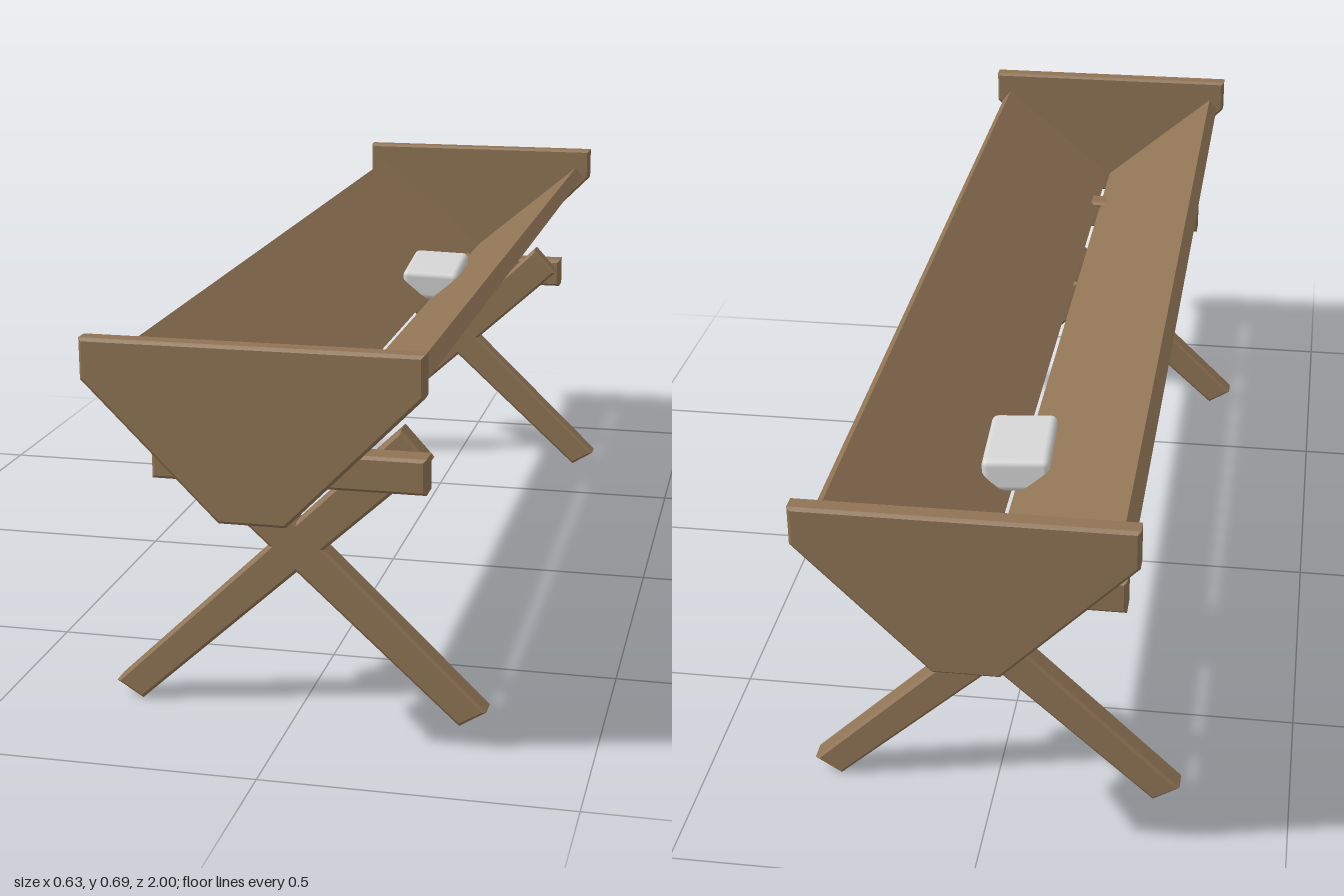
import * as THREE from 'three';
import { RoundedBoxGeometry } from 'three/addons/geometries/RoundedBoxGeometry.js';

export function createModel() {
  const model = new THREE.Group();
  model.name = 'trough';

  const wood = new THREE.MeshStandardMaterial({ color: 0x8f7354, flatShading: true });
  wood.name = 'wood';
  const salt = new THREE.MeshStandardMaterial({ color: 0xd6d6d6 });
  salt.name = 'salt';

  // Chamfered plank: an outline in x/y, extruded between z0 and z1
  function plank(name, points, z0, z1, bevel = 0.005) {
    const shape = new THREE.Shape(points.map(([x, y]) => new THREE.Vector2(x, y)));
    const geometry = new THREE.ExtrudeGeometry(shape, {
      depth: z1 - z0 - 2 * bevel,
      bevelEnabled: true,
      bevelSegments: 1,
      bevelSize: bevel,
      bevelOffset: -bevel,
      bevelThickness: bevel,
    });
    geometry.translate(0, 0, z0 + bevel);
    const mesh = new THREE.Mesh(geometry, wood);
    mesh.name = name;
    model.add(mesh);
    return mesh;
  }

  // Two sloping boards forming the V, with a narrow gap at the bottom
  const angle = THREE.MathUtils.degToRad(40);
  const length = 0.297, thick = 0.026;
  const along = [Math.cos(angle) * length, Math.sin(angle) * length];
  const out = [Math.sin(angle) * thick, -Math.cos(angle) * thick];
  const base = [0.003, 0.455];
  for (const side of [1, -1]) {
    const outline = [
      base,
      [base[0] + out[0], base[1] + out[1]],
      [base[0] + out[0] + along[0], base[1] + out[1] + along[1]],
      [base[0] + along[0], base[1] + along[1]],
    ].map(([x, y]) => [x * side, y]);
    plank(side > 0 ? 'leftBoard' : 'rightBoard', outline, -0.967, 0.967);
  }

  const endOutline = [
    [-0.052, 0.411], [0.052, 0.411], [0.261, 0.622],
    [0.261, 0.686], [-0.261, 0.686], [-0.261, 0.622],
  ];
  const braceOutline = [[-0.224, 0.407], [0.224, 0.407], [0.224, 0.466], [-0.224, 0.466]];
  const legOutline = [[0.27, 0], [0.315, 0.028], [-0.173, 0.498], [-0.22, 0.446]];

  // End panel, cross brace and crossed legs at each end
  for (const end of [1, -1]) {
    const prefix = end > 0 ? 'front' : 'back';
    const add = (name, outline, a, b) =>
      plank(prefix + name, outline, Math.min(a * end, b * end), Math.max(a * end, b * end));
    add('EndPanel', endOutline, 0.966, 1);
    add('Brace', braceOutline, 0.749, 0.797);
    add('LeftLeg', legOutline, 0.705, 0.749);
    add('RightLeg', legOutline.map(([x, y]) => [-x, y]), 0.705, 0.749);
  }

  // Salt block lying slightly askew in the trough
  const block = new THREE.Mesh(new RoundedBoxGeometry(0.117, 0.06, 0.19, 2, 0.012), salt);
  block.name = 'saltBlock';
  block.position.set(-0.002, 0.488, -0.443);
  block.rotation.set(0.05, 0.055, -0.04);
  model.add(block);

  return model;
}
